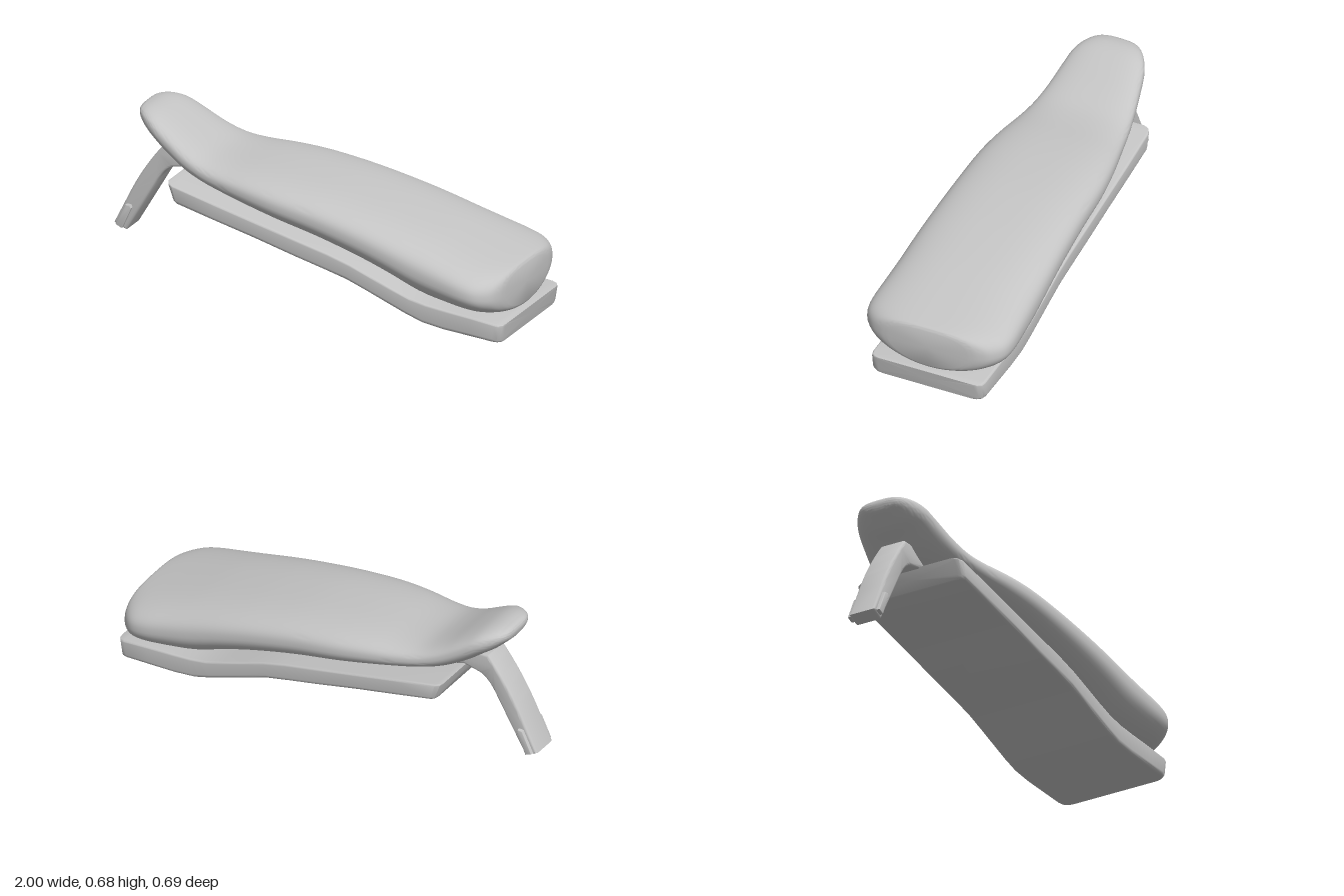
import * as THREE from 'three';
import { toCreasedNormals } from 'three/addons/utils/BufferGeometryUtils.js';

// Closed skin through rings of points; rings advance along +x, each running from +z over +y
function loft(rings, crease) {
  const n = rings[0].length, pos = [], idx = [];
  rings.forEach(r => r.forEach(p => pos.push(...p)));
  for (let i = 0; i < rings.length - 1; i++) {
    for (let j = 0; j < n; j++) {
      const a = i * n + j, b = i * n + (j + 1) % n;
      idx.push(a, a + n, b, b, a + n, b + n);
    }
  }
  // End caps
  [0, rings.length - 1].forEach((k, end) => {
    const c = pos.length / 3;
    for (let d = 0; d < 3; d++) pos.push(rings[k].reduce((s, p) => s + p[d], 0) / n);
    for (let j = 0; j < n; j++) {
      const a = k * n + j, b = k * n + (j + 1) % n;
      if (end) idx.push(c, b, a); else idx.push(c, a, b);
    }
  });
  const g = new THREE.BufferGeometry();
  g.setAttribute('position', new THREE.Float32BufferAttribute(pos, 3));
  g.setIndex(idx);
  return toCreasedNormals(g, crease);
}

// Cushion stations: x, top y, bottom y, half width
const CUSHION = [
  [-0.869, 0.655, 0.635, 0.045], [-0.862, 0.667, 0.617, 0.082], [-0.84, 0.674, 0.594, 0.117],
  [-0.8, 0.674, 0.556, 0.15], [-0.75, 0.66, 0.52, 0.175], [-0.68, 0.624, 0.468, 0.192],
  [-0.59, 0.572, 0.42, 0.211], [-0.5, 0.535, 0.392, 0.229], [-0.4, 0.522, 0.368, 0.249],
  [-0.25, 0.521, 0.335, 0.28], [-0.1, 0.514, 0.303, 0.3], [0.1, 0.494, 0.262, 0.309],
  [0.3, 0.461, 0.212, 0.319], [0.45, 0.43, 0.165, 0.327], [0.6, 0.395, 0.11, 0.334],
  [0.72, 0.363, 0.092, 0.34], [0.83, 0.333, 0.084, 0.344], [0.9, 0.314, 0.084, 0.33],
  [0.95, 0.3, 0.087, 0.285], [0.972, 0.292, 0.093, 0.235], [0.98, 0.278, 0.103, 0.19],
];

function cushionGeometry() {
  const heights = new THREE.CatmullRomCurve3(CUSHION.map(r => new THREE.Vector3(r[0], r[1], r[2])), false, 'catmullrom');
  const widths = new THREE.CatmullRomCurve3(CUSHION.map(r => new THREE.Vector3(r[0], r[3], 0)), false, 'catmullrom');
  const rings = [], steps = (CUSHION.length - 1) * 4, seg = 64;
  for (let i = 0; i <= steps; i++) {
    const { x, y: top, z: bottom } = heights.getPoint(i / steps);
    const w = widths.getPoint(i / steps).y;
    const mid = bottom + (top - bottom) * 0.55;
    const ring = [];
    for (let j = 0; j < seg; j++) {
      const a = j / seg * Math.PI * 2, c = Math.cos(a), s = Math.sin(a);
      const e = s > 0 ? 2 / 2.8 : 1; // squarer above, rounder below
      ring.push([
        x,
        mid + (s > 0 ? top - mid : mid - bottom) * Math.sign(s) * Math.abs(s) ** e,
        w * Math.sign(c) * Math.abs(c) ** e,
      ]);
    }
    rings.push(ring);
  }
  return loft(rings, 0.7);
}

// Base pan stations: top x, top y, bottom x, bottom y, half width
const PAN = [
  [-0.64, 0.42, -0.605, 0.332, 0.24], [-0.632, 0.418, -0.6, 0.33, 0.257], [-0.61, 0.413, -0.585, 0.327, 0.268],
  [-0.4, 0.37, -0.41, 0.29, 0.27], [-0.2, 0.327, -0.21, 0.248, 0.27], [0, 0.284, -0.01, 0.202, 0.27],
  [0.15, 0.253, 0.13, 0.172, 0.27], [0.26, 0.224, 0.24, 0.147, 0.27], [0.36, 0.19, 0.34, 0.113, 0.27],
  [0.46, 0.155, 0.44, 0.077, 0.27], [0.55, 0.127, 0.53, 0.045, 0.27], [0.63, 0.113, 0.61, 0.022, 0.27],
  [0.72, 0.106, 0.71, 0.011, 0.27], [0.85, 0.099, 0.84, 0.006, 0.27], [0.965, 0.09, 0.95, 0.002, 0.27],
  [0.985, 0.087, 0.972, 0.001, 0.264], [0.997, 0.085, 0.983, 0, 0.248], [1, 0.084, 0.986, 0, 0.23],
];

function panGeometry() {
  const rings = PAN.map(([xt, yt, xb, yb, w]) => {
    const h = yt - yb, half = [];
    // Rounded lower corner, then rounded upper corner, on the +z side
    [[0.018, -Math.PI / 2, 0.018], [0.01, 0, h - 0.01]].forEach(([r, start, cy]) => {
      for (let k = 0; k <= 4; k++) {
        const a = start + k / 4 * Math.PI / 2;
        half.push([w - r + r * Math.cos(a), cy + r * Math.sin(a)]);
      }
    });
    const loop = [...half, ...half.slice().reverse().map(([z, y]) => [-z, y])];
    return loop.map(([z, y]) => [xb + (xt - xb) * y / h, yb + y, z]);
  });
  return loft(rings, 0.6);
}

// Side outline extruded across z and centred
function sidePlate(shape, halfWidth, bevel) {
  const g = new THREE.ExtrudeGeometry(shape, {
    depth: 2 * (halfWidth - bevel), bevelEnabled: true, bevelThickness: bevel,
    bevelSize: bevel, bevelOffset: -bevel, bevelSegments: 3, curveSegments: 12,
  });
  g.translate(0, 0, bevel - halfWidth);
  return toCreasedNormals(g, 0.6);
}

export function createModel() {
  const group = new THREE.Group();
  const grey = new THREE.MeshStandardMaterial({ color: 0xc4c4c4 });
  grey.name = 'light grey';
  const add = (name, geometry) => {
    const m = new THREE.Mesh(geometry, grey);
    m.name = name;
    group.add(m);
    return m;
  };

  add('cushion', cushionGeometry());
  add('basePan', panGeometry());

  // Curved arm reaching down from the nose
  const arm = new THREE.Shape();
  arm.moveTo(-1, 0.083);
  arm.lineTo(-0.94, 0.058);
  arm.lineTo(-0.8, 0.3);
  arm.quadraticCurveTo(-0.755, 0.385, -0.71, 0.4);
  arm.lineTo(-0.63, 0.416);
  arm.lineTo(-0.58, 0.4);
  arm.lineTo(-0.58, 0.45);
  arm.lineTo(-0.68, 0.5);
  arm.lineTo(-0.752, 0.502);
  arm.quadraticCurveTo(-0.86, 0.375, -0.935, 0.215);
  arm.closePath();
  add('frontArm', sidePlate(arm, 0.066, 0.012));

  // Clip passing through the foot of the arm, standing proud on both sides
  const clip = new THREE.Shape();
  clip.moveTo(-0.983, 0.083);
  clip.lineTo(-0.952, 0.07);
  clip.lineTo(-0.907, 0.172);
  clip.lineTo(-0.913, 0.186);
  clip.lineTo(-0.935, 0.184);
  clip.closePath();
  add('armClip', sidePlate(clip, 0.082, 0.004));

  return group;
}
